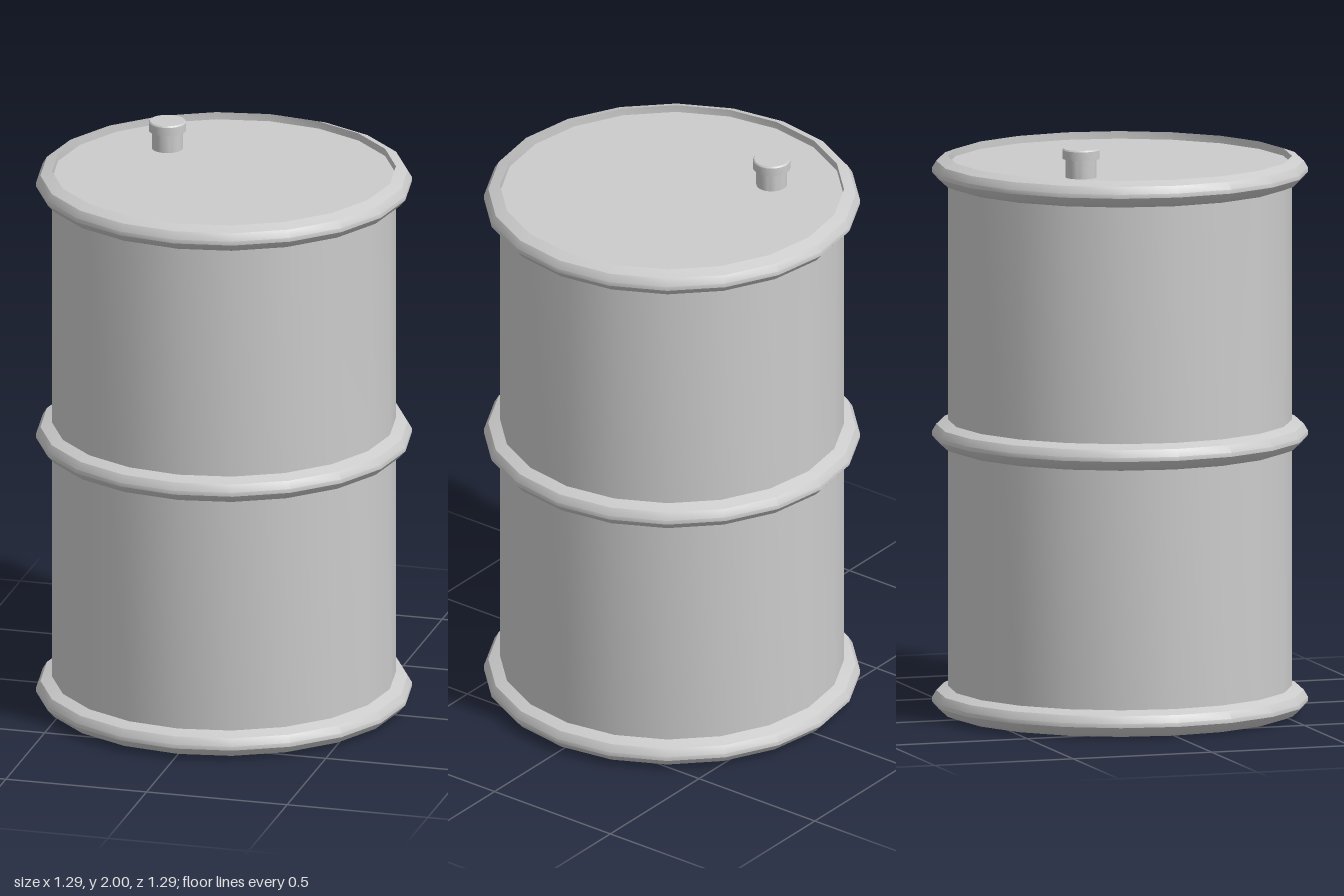
import * as THREE from 'three';
import { toCreasedNormals } from 'three/addons/utils/BufferGeometryUtils.js';

const SIDES = 20;
const R = 0.59;

export function createModel() {
  const group = new THREE.Group();
  const material = new THREE.MeshStandardMaterial({ color: 0xcccccc });

  // Revolve a [radius, y] profile, keeping strong bends sharp
  function turned(name, profile, sides = SIDES) {
    const points = profile.map(([r, y]) => new THREE.Vector2(r, y));
    const geometry = toCreasedNormals(new THREE.LatheGeometry(points, sides), 0.6);
    const mesh = new THREE.Mesh(geometry, material);
    mesh.name = name;
    group.add(mesh);
    return mesh;
  }

  // Outer bulge of a hoop, from its lower edge to its upper edge
  const hoop = [[R, 0], [0.622, 0.012], [0.645, 0.038], [0.645, 0.052], [0.63, 0.077], [R, 0.092]];
  const hoopAt = (y) => hoop.map(([r, h]) => [r, h + y]);

  // Straight wall of the drum
  turned('barrelWall', [[R, 0.04], [R, 1.88]]);

  // Bottom hoop with the closed base, middle hoop, top rim with its inner lip
  turned('bottomHoopAndBase', [[0, 0], ...hoopAt(0)]);
  turned('middleHoop', hoopAt(0.922));
  turned('topRim', [...hoopAt(1.834), [R, 1.9]]);

  // Recessed lid
  turned('lid', [[R, 1.9], [0, 1.9]]);

  // Filler cap: narrow neck under a wider head
  const cap = turned('fillerCap', [
    [0.053, 1.895], [0.053, 1.965], [0.064, 1.965], [0.064, 1.995], [0.06, 2], [0, 2],
  ], 32);
  cap.position.set(-0.264, 0, -0.228);

  return group;
}
